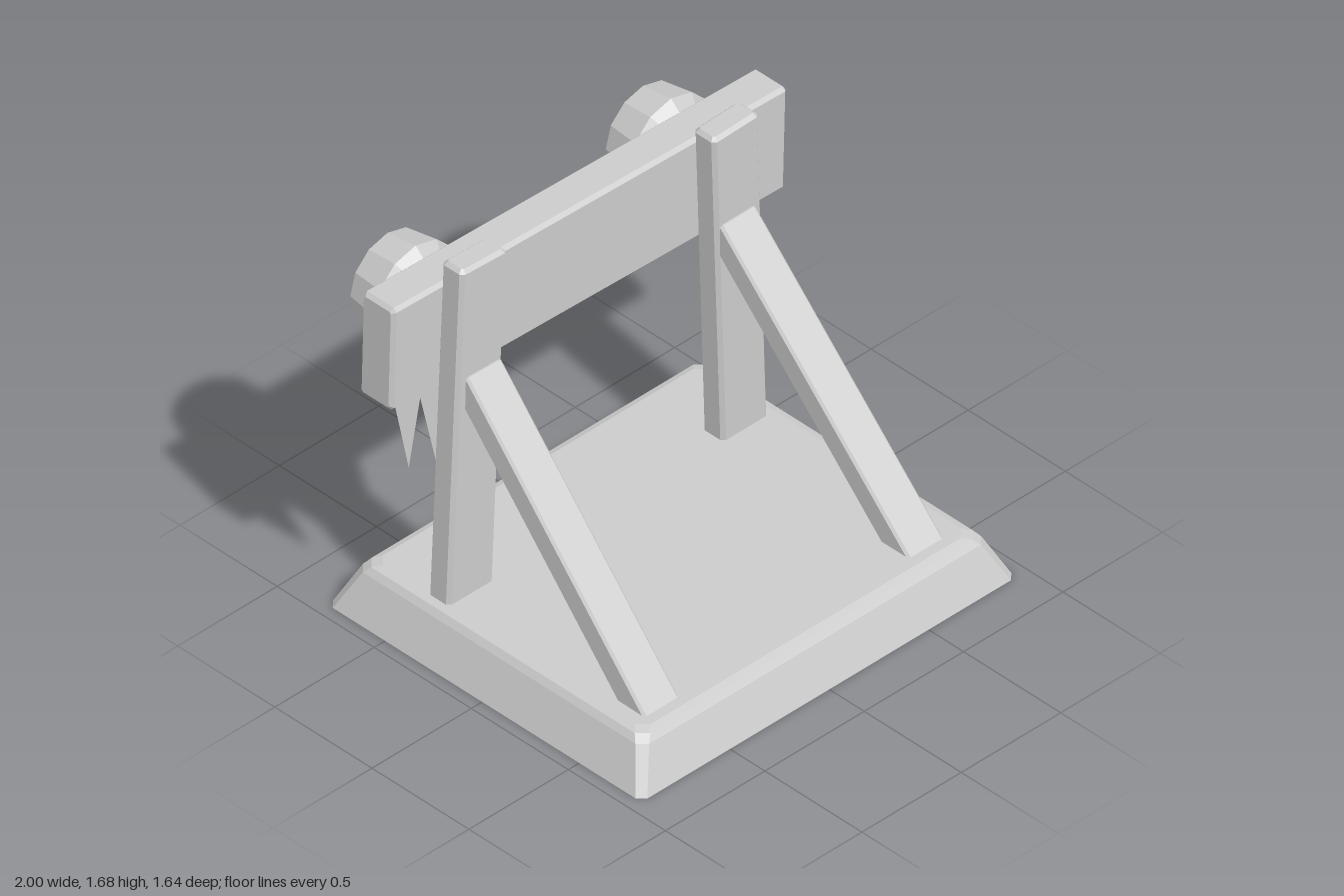
import * as THREE from 'three';

const material = new THREE.MeshStandardMaterial({ color: 0xcccccc, flatShading: true, side: THREE.DoubleSide });

function add(parent, name, geometry) {
  const mesh = new THREE.Mesh(geometry, material);
  mesh.name = name;
  parent.add(mesh);
  return mesh;
}

// Faceted surface from shared vertices
function facet(positions, index) {
  const g = new THREE.BufferGeometry();
  g.setAttribute('position', new THREE.Float32BufferAttribute(positions, 3));
  g.setIndex(index);
  const flat = g.toNonIndexed();
  flat.computeVertexNormals();
  return flat;
}

// Stack of chamfered rectangles [y, halfX, halfZ, chamfer], with optional end caps
function loft(rings, capTop = true, capBottom = false) {
  const pos = [], idx = [];
  for (const [y, a, b, c] of rings) {
    const corners = [[a, b - c], [a - c, b], [c - a, b], [-a, b - c], [-a, c - b], [c - a, -b], [a - c, -b], [a, c - b]];
    for (const [x, z] of corners) pos.push(x, y, z);
  }
  for (let r = 0; r < rings.length - 1; r++) {
    for (let i = 0; i < 8; i++) {
      const j = (i + 1) % 8, lo = r * 8, up = lo + 8;
      idx.push(lo + i, up + i, up + j, lo + i, up + j, lo + j);
    }
  }
  const t = (rings.length - 1) * 8;
  for (let i = 1; i < 7; i++) {
    if (capTop) idx.push(t, t + i + 1, t + i);
    if (capBottom) idx.push(0, i, i + 1);
  }
  return facet(pos, idx);
}

// Bevelled timber running from point a to point b
function timber(parent, name, a, b, width, depth, bevel, closedStart = false) {
  const from = new THREE.Vector3(...a), dir = new THREE.Vector3(...b).sub(from);
  const len = dir.length(), w = width / 2, d = depth / 2, s = bevel;
  const rings = [[0, w, d, s], [len - s, w, d, s], [len, w - s, d - s, s / 2]];
  if (closedStart) rings.splice(0, 1, [0, w - s, d - s, s / 2], [s, w, d, s]);
  const mesh = add(parent, name, loft(rings, true, closedStart));
  mesh.position.copy(from);
  mesh.quaternion.setFromUnitVectors(new THREE.Vector3(0, 1, 0), dir.normalize());
}

// Three-sided hanging spike with a flat front
function icicle(parent, x, top, tipX, tipY, halfWidth) {
  const z = -0.45;
  const pos = [x - halfWidth, top, z, x + halfWidth, top, z, x, top, z - 0.06, tipX, tipY, z];
  add(parent, 'icicle', facet(pos, [0, 3, 1, 1, 3, 2, 2, 3, 0, 0, 1, 2]));
}

export function createModel() {
  const model = new THREE.Group();
  model.name = 'bufferStop';

  // Sloped base, hollow underneath
  const base = add(model, 'base', loft([
    [0, 0.945, 0.81, 0.03],
    [0.165, 0.87, 0.737, 0.035],
    [0.19, 0.85, 0.718, 0.04],
    [0.2, 0.82, 0.69, 0.04],
  ]));
  base.position.z = 0.01;

  // Leaning posts, with open ends below the floor
  timber(model, 'rightPost', [-0.707, 0.15, -0.355], [-0.637, 1.678, -0.355], 0.23, 0.11, 0.015);
  timber(model, 'leftPost', [0.677, 0.15, -0.355], [0.629, 1.6, -0.355], 0.23, 0.11, 0.015);

  // Diagonal braces
  timber(model, 'rightBrace', [-0.682, 0.157, 0.621], [-0.646, 1.163, -0.341], 0.177, 0.11, 0.01);
  timber(model, 'leftBrace', [0.649, 0.157, 0.621], [0.633, 1.163, -0.341], 0.177, 0.11, 0.01);

  // Slightly tilted cross beam
  timber(model, 'beam', [-0.994, 1.347, -0.496], [0.991, 1.292, -0.496], 0.458, 0.168, 0.015, true);

  // Faceted buffers on the back of the beam
  const profile = [[0.14, 0], [0.21, 0.075], [0.187, 0.22], [0.175, 0.228], [0, 0.25]]
    .map(([r, h]) => new THREE.Vector2(r, h));
  for (const [name, x, y] of [['rightBuffer', -0.645, 1.347], ['leftBuffer', 0.64, 1.318]]) {
    const buffer = add(model, name, new THREE.LatheGeometry(profile, 12));
    buffer.rotation.x = -Math.PI / 2;
    buffer.position.set(x, y, -0.575);
  }

  // Icicles under the beam
  icicle(model, -0.878, 1.14, -0.875, 0.78, 0.075);
  icicle(model, -0.725, 1.14, -0.705, 0.6, 0.11);
  icicle(model, -0.525, 1.13, -0.55, 0.8, 0.105);
  icicle(model, 0.69, 1.1, 0.7, 0.77, 0.1);

  return model;
}
